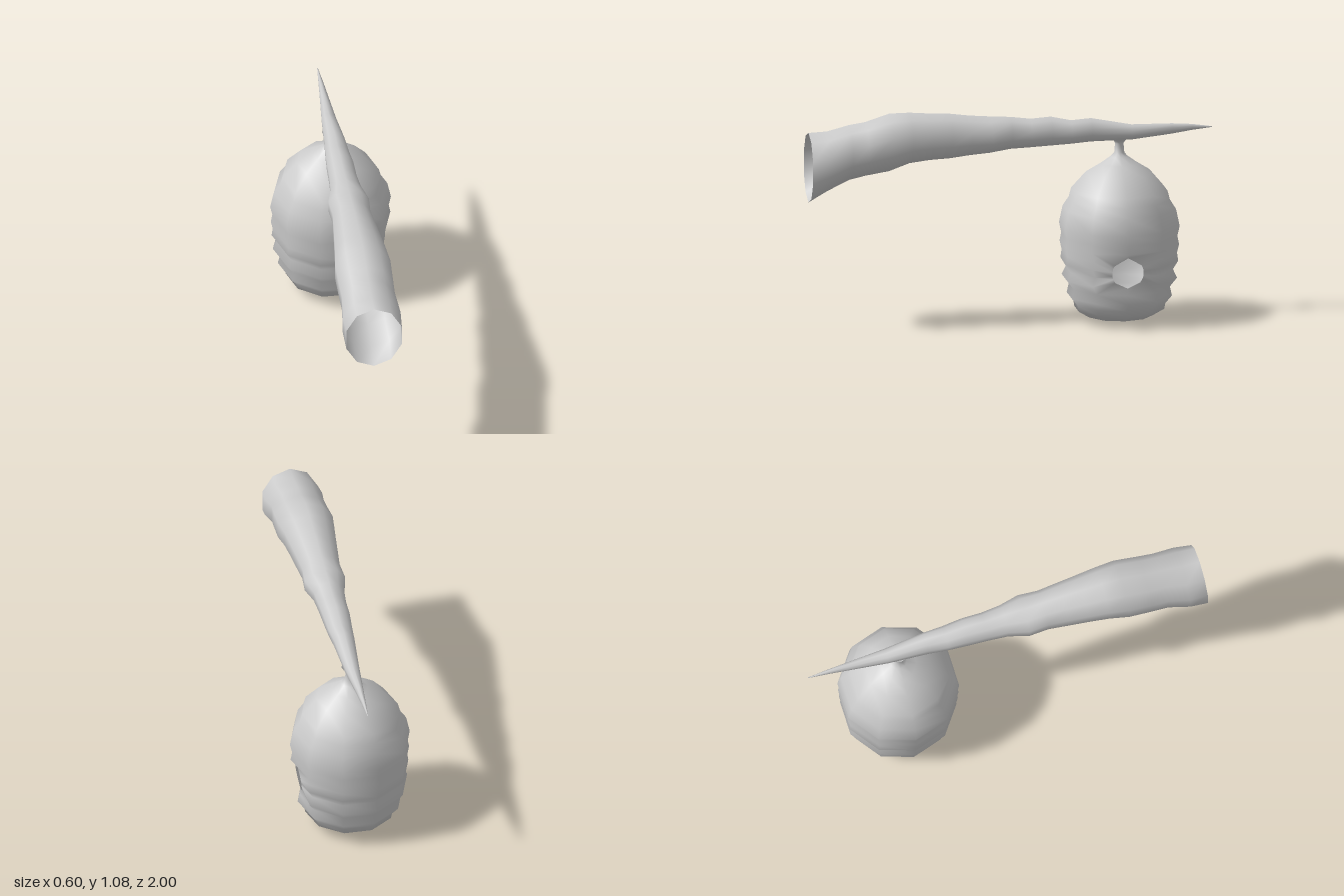
import * as THREE from 'three';

const SIDES = 10;
const HIVE_Z = -0.54;

// Builds one smooth skin from vertices and triangle indices.
function skin(name, points, index) {
  const geometry = new THREE.BufferGeometry().setFromPoints(points);
  geometry.setIndex(index);
  geometry.computeVertexNormals();
  const mesh = new THREE.Mesh(
    geometry,
    new THREE.MeshStandardMaterial({ color: 0xcccccc, side: THREE.DoubleSide })
  );
  mesh.name = name;
  return mesh;
}

// Joins successive closed rings of SIDES points; skip(row, column) leaves gaps.
function bridgeRings(rows, skip = () => false) {
  const index = [];
  for (let i = 0; i < rows - 1; i++) {
    for (let j = 0; j < SIDES; j++) {
      if (skip(i, j)) continue;
      const k = (j + 1) % SIDES;
      const a = i * SIDES + j, b = i * SIDES + k;
      const c = a + SIDES, d = b + SIDES;
      index.push(a, c, d, a, d, b);
    }
  }
  return index;
}

// Tapering hollow branch: z, top, bottom, half width of each ring.
function makeBranch() {
  const rings = [
    [-1, 0.952, 0.948, 0.002], [-0.9, 0.967, 0.937, 0.01], [-0.8, 0.974, 0.922, 0.018],
    [-0.6, 0.976, 0.9, 0.035], [-0.4, 1.015, 0.898, 0.05], [-0.3, 1.008, 0.89, 0.058],
    [-0.2, 1.03, 0.885, 0.065], [-0.1, 1.023, 0.88, 0.067], [0, 1.036, 0.876, 0.075],
    [0.1, 1.042, 0.86, 0.1], [0.2, 1.05, 0.852, 0.093], [0.3, 1.063, 0.84, 0.103],
    [0.4, 1.068, 0.835, 0.113], [0.5, 1.076, 0.823, 0.124], [0.6, 1.075, 0.787, 0.136],
    [0.72, 1.037, 0.768, 0.133], [0.8, 1.025, 0.75, 0.13], [0.91, 0.997, 0.697, 0.143],
    [1, 0.993, 0.645, 0.137]
  ];
  const points = [];
  for (const [z, top, bottom, halfWidth] of rings) {
    for (let j = 0; j < SIDES; j++) {
      const t = (j / SIDES) * Math.PI * 2;
      points.push(new THREE.Vector3(
        (halfWidth / 0.951) * Math.sin(t),
        (top + bottom) / 2 + ((top - bottom) / 2) * Math.cos(t),
        z
      ));
    }
  }
  return skin('branch', points, bridgeRings(rings.length));
}

// Ribbed hive with its stalk and a round entrance on the +x side.
function makeHive() {
  const profile = [
    [0.001, 0], [0.165, 0.028], [0.222, 0.062], [0.227, 0.09], [0.26, 0.13], [0.25, 0.175],
    [0.285, 0.22], [0.265, 0.262], [0.291, 0.305], [0.285, 0.345], [0.295, 0.388],
    [0.287, 0.43], [0.298, 0.48], [0.28, 0.565], [0.25, 0.61], [0.238, 0.655],
    [0.165, 0.738], [0.09, 0.785], [0.042, 0.82], [0.025, 0.84], [0.021, 0.885],
    [0.03, 0.9], [0.042, 0.912]
  ];
  const points = [];
  for (const [r, y] of profile) {
    for (let j = 0; j < SIDES; j++) {
      const a = (j / SIDES) * Math.PI * 2;
      points.push(new THREE.Vector3(r * Math.cos(a), y, HIVE_Z + r * Math.sin(a)));
    }
  }

  // Leave out the faces around the entrance
  const low = 5, high = 10, last = SIDES - 1;
  const index = bridgeRings(profile.length,
    (i, j) => i >= low && i < high && (j === 0 || j === last));

  // Outline of the gap, running round once
  const outline = [];
  for (let i = low; i < high; i++) outline.push(i * SIDES + last);
  outline.push(high * SIDES + last, high * SIDES);
  for (let i = high; i > low; i--) outline.push(i * SIDES + 1);
  outline.push(low * SIDES + 1, low * SIDES);

  // Sunken round rim joined to the outline
  const centreY = 0.288, radius = 0.078, first = points.length;
  for (const v of outline) {
    const angle = Math.atan2(points[v].y - centreY, points[v].z - HIVE_Z);
    const dy = radius * Math.sin(angle);
    points.push(new THREE.Vector3(
      0.256 + dy * 0.12, centreY + dy, HIVE_Z + radius * Math.cos(angle)));
  }
  outline.forEach((a, n) => {
    const m = (n + 1) % outline.length;
    index.push(a, outline[m], first + m, a, first + m, first + n);
  });
  return skin('hive', points, index);
}

export function createModel() {
  const model = new THREE.Group();
  model.name = 'hiveOnBranch';
  model.add(makeBranch(), makeHive());
  return model;
}
